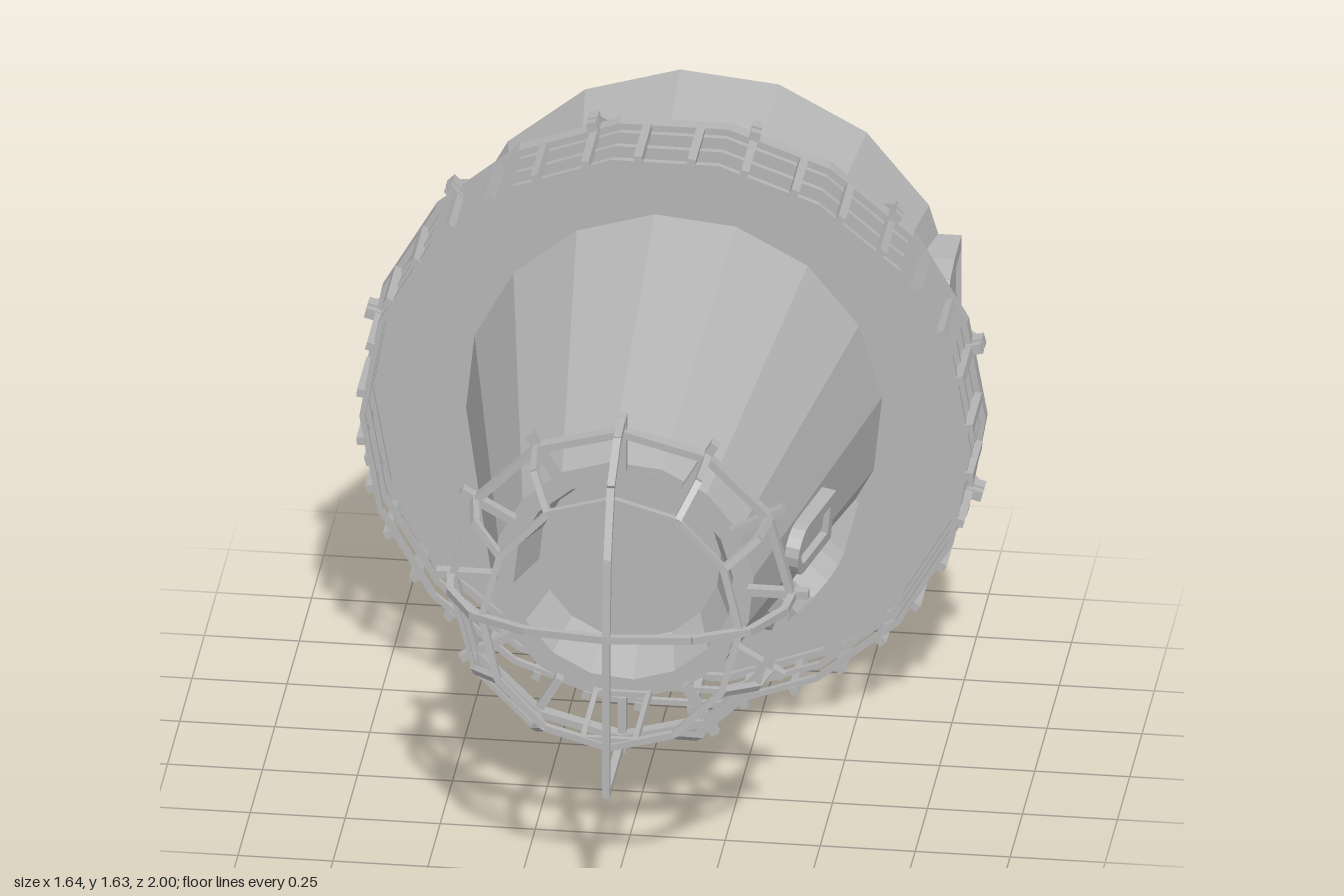
import * as THREE from 'three';

const grey = new THREE.MeshStandardMaterial({ color: 0xb4b4b4, flatShading: true, side: THREE.DoubleSide });
grey.name = 'stone grey';

const rad = THREE.MathUtils.degToRad;
const V = (x, y, z) => new THREE.Vector3(x, y, z);
// Point around the tower axis (z): radius, angle in degrees, position along the axis
const polar = (r, deg, z) => V(r * Math.cos(rad(deg)), r * Math.sin(rad(deg)), z);
const towerRadius = z => 0.345 + (0.64 - z) * 0.198;

export function createModel() {
  const model = new THREE.Group();
  model.name = 'lighthouse';
  const body = new THREE.Group();
  body.name = 'lighthouseBody';
  body.position.y = 0.82;
  model.add(body);

  function add(name, geometry, parent = body) {
    const mesh = new THREE.Mesh(geometry, grey);
    mesh.name = name;
    parent.add(mesh);
    return mesh;
  }

  // Faceted surface turned around the z axis from [radius, z] points
  function turned(name, points, sides, firstAngle) {
    const g = new THREE.LatheGeometry(points.map(p => new THREE.Vector2(p[0], p[1])), sides, rad(firstAngle + 90));
    g.rotateX(Math.PI / 2);
    return add(name, g);
  }

  const hoop = (name, r0, r1, z0, z1, sides, first) =>
    turned(name, [[r0, z0], [r1, z0], [r1, z1], [r0, z1], [r0, z0]], sides, first);

  // Square bar between two points, one side facing away from the axis
  function bar(name, a, b, width, height = width) {
    const z = b.clone().sub(a);
    const length = z.length();
    z.normalize();
    const mid = a.clone().add(b).multiplyScalar(0.5);
    let up = V(mid.x, mid.y, 0).normalize();
    if (up.lengthSq() < 0.5 || Math.abs(up.dot(z)) > 0.95) up = V(0, 0, 1);
    if (Math.abs(up.dot(z)) > 0.95) up = V(0, 1, 0);
    const x = up.clone().cross(z).normalize();
    const y = z.clone().cross(x);
    const g = new THREE.BoxGeometry(width, height, length);
    g.applyMatrix4(new THREE.Matrix4().makeBasis(x, y, z).setPosition(mid));
    return add(name, g);
  }

  const chain = (name, points, width) => {
    for (let i = 1; i < points.length; i++) bar(name, points[i - 1], points[i], width);
  };

  // Arch outline: base at v = 0, round end at v = height
  function arch(path, width, height, base = 0) {
    const r = width / 2, steps = 8;
    path.moveTo(-r, base);
    path.lineTo(r, base);
    for (let i = 0; i <= steps; i++) {
      const t = Math.PI * i / steps;
      path.lineTo(r * Math.cos(t), height - r + r * Math.sin(t));
    }
    path.closePath();
    return path;
  }

  // Arched frame with a recessed panel, standing on the tower wall
  function opening(name, o) {
    const group = new THREE.Group();
    group.name = name;
    const out = polar(1, o.angle, 0);
    const along = V(0, 0, 1).addScaledVector(out, -(o.slope || 0)).normalize();
    const normal = out.clone().addScaledVector(along, -out.dot(along)).normalize();
    const side = along.clone().cross(normal);
    group.applyMatrix4(new THREE.Matrix4().makeBasis(side, along, normal).setPosition(polar(o.r, o.angle, o.z)));
    body.add(group);
    const frame = arch(new THREE.Shape(), o.width, o.height);
    frame.holes.push(arch(new THREE.Path(), o.width - 2 * o.rim, o.height - o.rim, o.sill));
    add(name + 'Frame', new THREE.ExtrudeGeometry(frame, { depth: o.depth, bevelEnabled: false }), group);
    const panel = arch(new THREE.Shape(), o.width - 2 * o.rim, o.height - o.rim, o.sill);
    add(name + 'Panel', new THREE.ShapeGeometry(panel), group).position.z = o.depth - o.recess;
    return group;
  }

  // Tower: open at the foot, recessed at the lantern end
  turned('tower', [[towerRadius(-1), -1], [0.345, 0.64]], 16, 5.3);
  turned('lanternRecess', [[0.345, 0.64], [0.29, 0.64], [0.24, 0.5], [0, 0.5]], 16, 5.3);

  // Gallery floor and railing
  hoop('galleryFloor', 0.52, 0.82, -0.435, -0.395, 18, 0);
  for (const z of [-0.22, -0.3, -0.38]) hoop('galleryRail', 0.79, 0.805, z - 0.008, z + 0.008, 18, 0);
  for (let i = 0; i < 36; i++) {
    const a = 5 + 10 * i;
    bar('galleryPost', polar(0.803, a, -0.395), polar(0.803, a, -0.205), 0.022);
  }
  // Brackets carrying the gallery
  for (let i = 0; i < 12; i++) {
    const a = 15 + 30 * i;
    bar('galleryBeam', polar(0.54, a, -0.43), polar(0.84, a, -0.43), 0.028, 0.036);
    bar('galleryBlock', polar(0.8, a, -0.39), polar(0.84, a, -0.39), 0.028, 0.02);
    bar('galleryStrut', polar(0.81, a, -0.44), polar(0.6, a, -0.74), 0.028);
  }

  // Lantern ring with spokes and a cage of bent bars
  hoop('lanternRing', 0.435, 0.455, 0.645, 0.68, 12, 0);
  const tilted = deg => {
    const p = polar(0.34, deg, 0);
    p.z = 0.895 - 0.12 * p.y;
    return p;
  };
  for (let i = 0; i < 12; i++) {
    const a = 30 * i;
    bar('lanternSpoke', polar(0.33, a, 0.655), polar(0.49, a, 0.655), 0.022, 0.03);
    bar('innerStrip', polar(0.325, a + 15, 0.4), polar(0.31, a + 15, 0.64), 0.015);
    bar('cageHoop', tilted(a), tilted(a + 30), 0.018);
    if (a === 270) continue;
    if (a % 90 === 0) {
      const r = a === 90 ? 0.48 : 0.45;
      chain('cageArch', [polar(r, a, 0.66), polar(r - 0.01, a, 0.76), polar(r - 0.085, a, 0.89),
        polar(0.22, a, 0.96), polar(0, a, 0.985)], 0.02);
    } else {
      chain('cageBar', [polar(0.45, a, 0.66), polar(0.43, a, 0.78), tilted(a)], 0.018);
    }
  }
  // Lower guard rails, one on each side
  for (const s of [-1, 1]) {
    const points = [0, 30, 60].map(d => {
      const p = polar(0.43, -d, 0.78);
      p.x *= s;
      return p;
    });
    chain('guardRail', points, 0.012);
    bar('hatchRail', V(0.07 * s, -0.32, 0.65), V(0.07 * s, -0.32, 0.94), 0.014);
  }
  bar('hatchRung', V(-0.07, -0.32, 0.93), V(0.07, -0.32, 0.93), 0.014);
  bar('hatchRung', V(-0.07, -0.32, 0.66), V(0.07, -0.32, 0.66), 0.014);
  // Upright post and its foot at the front of the cage
  bar('frontPost', V(0, 0, 0.985), V(0, -0.46, 0.985), 0.02);
  bar('frontPostFoot', V(0, -0.45, 0.65), V(0, -0.45, 0.995), 0.02);

  // Small windows follow the slope of the wall
  for (const angle of [-6, -86]) {
    const window = opening('window', { angle, slope: 0.198, r: towerRadius(0.08) - 0.03, z: 0.08,
      width: 0.14, height: 0.29, rim: 0.03, sill: 0.035, depth: 0.06, recess: 0.02 });
    const pane = arch(new THREE.Shape(), 0.045, 0.19);
    add('windowPane', new THREE.ExtrudeGeometry(pane, { depth: 0.008, bevelEnabled: false }), window).position.set(0, 0.05, 0.04);
  }
  // Dormer and entrance stand parallel to the axis
  opening('dormer', { angle: -44, r: 0.4, z: -0.4, width: 0.3, height: 0.45, rim: 0.04, sill: 0, depth: 0.13, recess: 0.03 });
  opening('entrance', { angle: 0, r: 0.56, z: -1, width: 0.46, height: 0.37, rim: 0.04, sill: 0, depth: 0.118, recess: 0.015 });

  return model;
}
